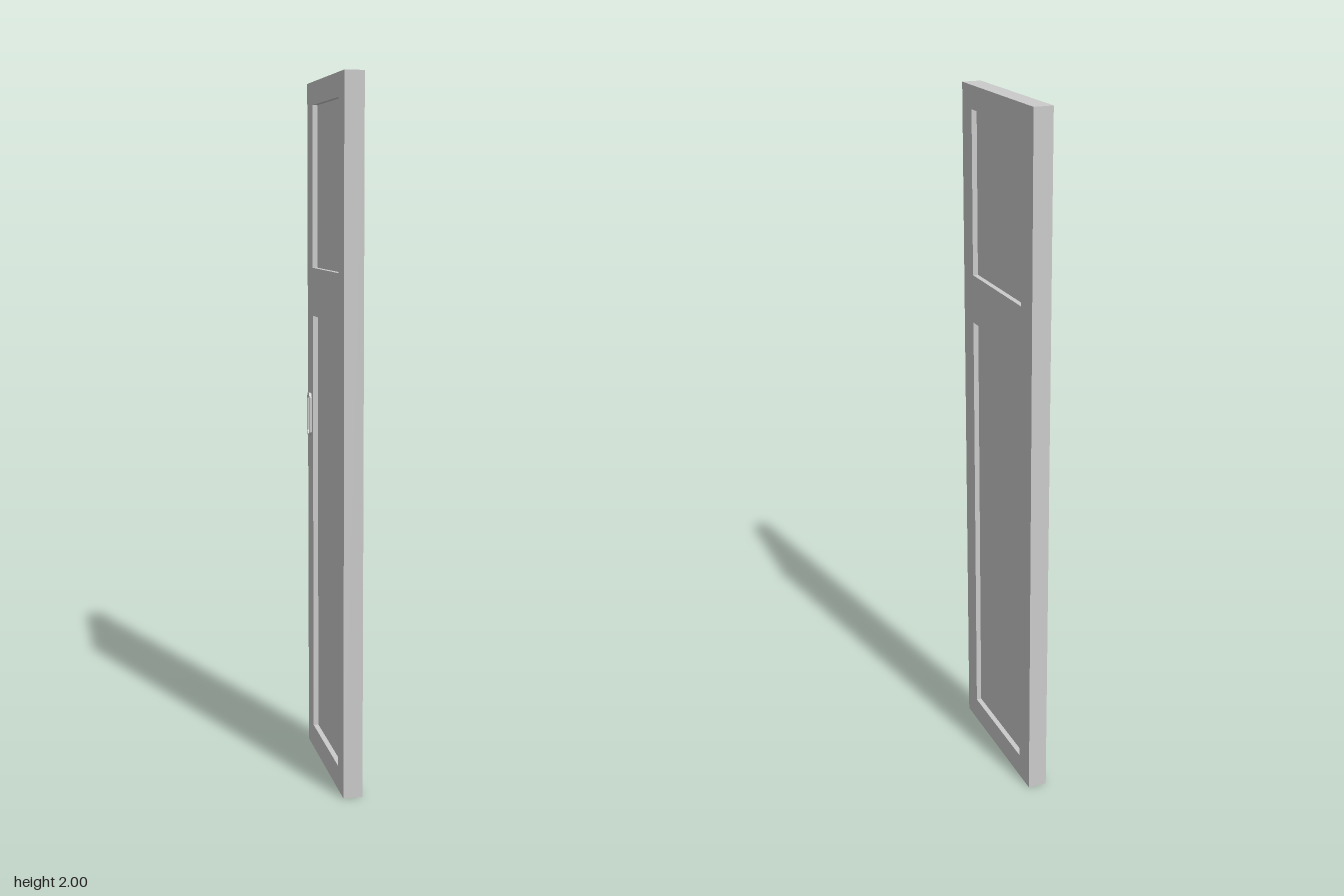
import * as THREE from 'three';

const material = new THREE.MeshStandardMaterial({ color: 0xcccccc });

// Closed outline of a z/y rectangle, with optional chamfered corners
function outline(z0, z1, y0, y1, cz = 0, cy = cz, Type = THREE.Shape) {
  const a = -z1, b = -z0; // drawn in mirrored z, turned to face x later
  const pts = cz
    ? [[a + cz, y0], [b - cz, y0], [b, y0 + cy], [b, y1 - cy], [b - cz, y1], [a + cz, y1], [a, y1 - cy], [a, y0 + cy]]
    : [[a, y0], [b, y0], [b, y1], [a, y1]];
  return new Type(pts.map(([x, y]) => new THREE.Vector2(x, y)));
}

// Extrudes a z/y outline along x, from x0 to x1
function slab(name, shape, x0, x1) {
  const geometry = new THREE.ExtrudeGeometry(shape, { depth: x1 - x0, bevelEnabled: false });
  geometry.rotateY(Math.PI / 2).translate(x0, 0, 0);
  const mesh = new THREE.Mesh(geometry, material);
  mesh.name = name;
  return mesh;
}

export function createModel() {
  const door = new THREE.Group();
  door.name = 'door';
  const openings = [
    ['lowerPanel', 0.07, 1.33],
    ['upperPanel', 1.47, 1.935],
  ];

  // Stiles and rails, with two openings
  const frame = outline(-0.24, 0.237, 0, 2);
  for (const [, y0, y1] of openings) frame.holes.push(outline(-0.168, 0.17, y0, y1, 0, 0, THREE.Path));
  door.add(slab('frame', frame, -0.025, 0.03));

  // Recessed panels, seen from both faces
  for (const [name, y0, y1] of openings) door.add(slab(name, outline(-0.168, 0.17, y0, y1), -0.01, 0.015));

  // Flush pull: chamfered rim around a shallow dished plate
  const pull = new THREE.Group();
  pull.name = 'pullHandle';
  const rim = outline(-0.22, -0.185, 0.968, 1.097, 0.009, 0.012);
  rim.holes.push(outline(-0.215, -0.19, 0.974, 1.091, 0.007, 0.01, THREE.Path));
  pull.add(slab('pullRim', rim, -0.032, -0.024));
  pull.add(slab('pullPlate', outline(-0.215, -0.19, 0.974, 1.091, 0.007, 0.01), -0.028, -0.024));
  door.add(pull);
  return door;
}
